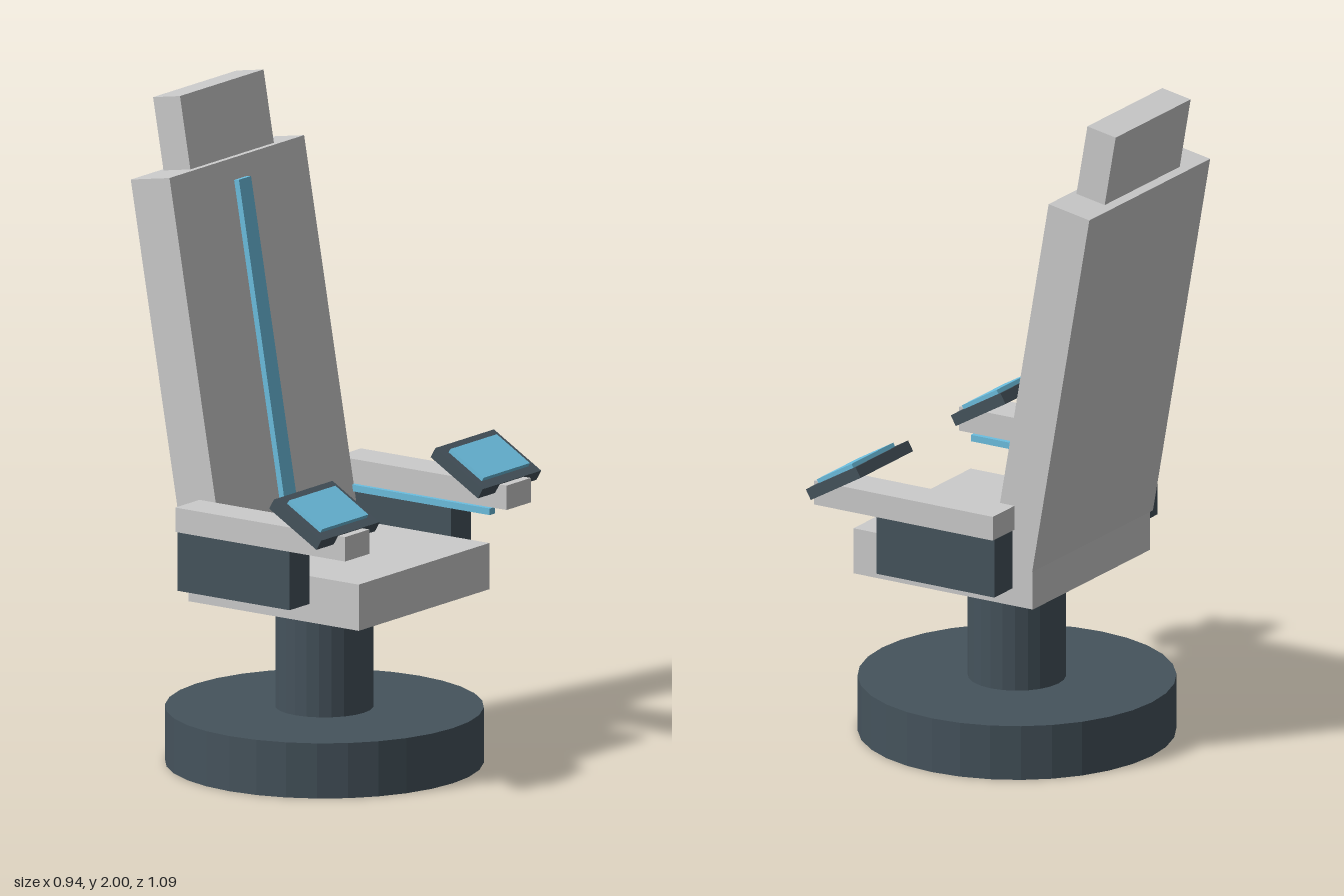
import * as THREE from 'three';

export function createModel() {
  const group = new THREE.Group();
  const mat = (color) => new THREE.MeshStandardMaterial({ color, flatShading: true });
  const grey = mat(0xcccccc), dark = mat(0x45535c), blue = mat(0x6cbfe0);
  const deg = Math.PI / 180;

  // Adds a mesh centred at (x, y, z), tilted about the z axis
  const add = (name, geometry, material, [x, y, z], tilt = 0, parent = group) => {
    const mesh = new THREE.Mesh(geometry, material);
    mesh.name = name;
    mesh.position.set(x, y, z);
    mesh.rotation.z = tilt * deg;
    parent.add(mesh);
    return mesh;
  };
  const box = (w, h, d) => new THREE.BoxGeometry(w, h, d);

  // Pedestal
  add('base', new THREE.CylinderGeometry(0.47, 0.47, 0.167, 32), dark, [0, 0.0835, 0]);
  add('post', new THREE.CylinderGeometry(0.145, 0.145, 0.36, 24), dark, [0, 0.34, 0]);

  // Seat and reclined back
  add('seat', box(0.624, 0.14, 0.647), grey, [0.053, 0.58, 0]);
  add('backrest', box(0.144, 1.147, 0.667), grey, [-0.292, 1.208, 0], 10);
  add('headrest', box(0.1, 0.22, 0.414), grey, [-0.406, 1.884, 0], 10);
  add('backLightStrip', box(0.018, 1.043, 0.06), blue, [-0.209, 1.21, 0], 10);

  // Armrests with tilted control screens, one on each side
  for (const side of [1, -1]) {
    const arm = new THREE.Group();
    arm.name = side > 0 ? 'leftArm' : 'rightArm';
    group.add(arm);
    add('armSupport', box(0.41, 0.18, 0.1), dark, [0, 0.664, side * 0.4], 0, arm);
    add('armrest', box(0.622, 0.074, 0.12), grey, [0.105, 0.791, side * 0.4], 0, arm);
    add('armLightStrip', box(0.51, 0.02, 0.025), blue, [0.11, 0.744, side * 0.338], 0, arm);
    add('screenFrame', box(0.2, 0.035, 0.29), dark, [0.296, 0.865, side * 0.4], -30, arm);
    add('screen', box(0.14, 0.014, 0.23), blue, [0.308, 0.885, side * 0.4], -30, arm);
  }
  return group;
}
